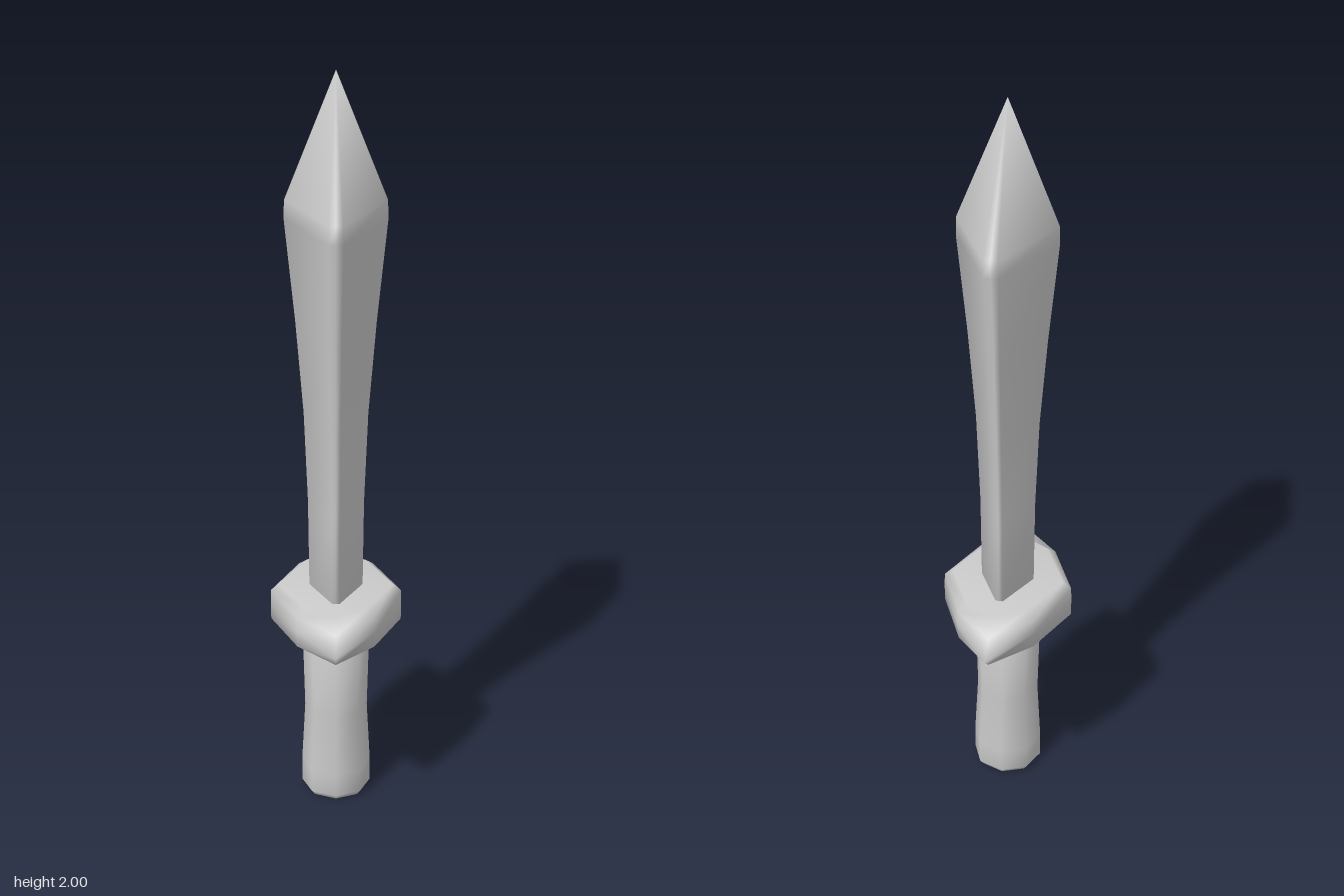
import * as THREE from 'three';
import { mergeVertices } from 'three/addons/utils/BufferGeometryUtils.js';

// Skin a stack of horizontal rings; each ring is { y, points: [[x, z], ...] }
function loft(rings) {
  const n = rings[0].points.length;
  const positions = [];
  const index = [];
  for (const { y, points } of rings) for (const [x, z] of points) positions.push(x, y, z);
  for (let i = 0; i < rings.length - 1; i++) {
    for (let j = 0; j < n; j++) {
      const a = i * n + j, b = i * n + (j + 1) % n;
      index.push(a, a + n, b, b, a + n, b + n);
    }
  }
  let geometry = new THREE.BufferGeometry();
  geometry.setAttribute('position', new THREE.Float32BufferAttribute(positions, 3));
  geometry.setIndex(index);
  geometry = mergeVertices(geometry);
  geometry.computeVertexNormals();
  return geometry;
}

// Mirror a quarter outline, listed from the +x point to the +z point, to a closed ring
function mirrored(y, quarter) {
  const half = [...quarter, ...quarter.slice(0, -1).reverse().map(([x, z]) => [-x, z])];
  const back = half.slice(1, -1).map(([x, z]) => [-x, -z]);
  return { y, points: [...half, ...back] };
}

export function createModel() {
  const group = new THREE.Group();
  const material = new THREE.MeshStandardMaterial({ color: 0xcccccc });
  const add = (name, rings) => {
    const mesh = new THREE.Mesh(loft(rings), material);
    mesh.name = name;
    group.add(mesh);
  };

  // Blade: diamond section with narrow blunt edges, widening to the shoulder [y, half x, half z]
  const blade = [
    [0.58, 0, 0], [0.58, 0.07, 0.115], [0.85, 0.073, 0.122], [1.1, 0.083, 0.142],
    [1.35, 0.103, 0.17], [1.62, 0.13, 0.206], [1.67, 0.129, 0.21], [2, 0, 0],
  ];
  add('blade', blade.map(([y, x, z]) => mirrored(y, [[x, 0], [x * 0.14, z], [0, z]])));

  // Guard: pointed lozenge with bevelled rims [y, side x, shoulder x, shoulder z, end z]
  const guard = [
    [0.49, 0, 0, 0, 0], [0.49, 0.15, 0.08, 0.145, 0.19], [0.508, 0.172, 0.1, 0.16, 0.26],
    [0.55, 0.173, 0.102, 0.162, 0.308],
    [0.592, 0.172, 0.1, 0.16, 0.26], [0.61, 0.15, 0.08, 0.145, 0.19], [0.61, 0, 0, 0, 0],
  ];
  add('guard', guard.map(([y, x, sx, sz, z]) => mirrored(y, [[x, 0], [sx, sz], [0, z]])));

  // Grip: eight-sided handle with a slight waist [y, radius]
  const grip = [[0, 0], [0, 0.08], [0.015, 0.092], [0.08, 0.092], [0.25, 0.083], [0.52, 0.09], [0.52, 0]];
  const k = Math.SQRT1_2;
  add('grip', grip.map(([y, r]) => mirrored(y, [[r, 0], [r * k, r * k], [0, r]])));

  return group;
}
